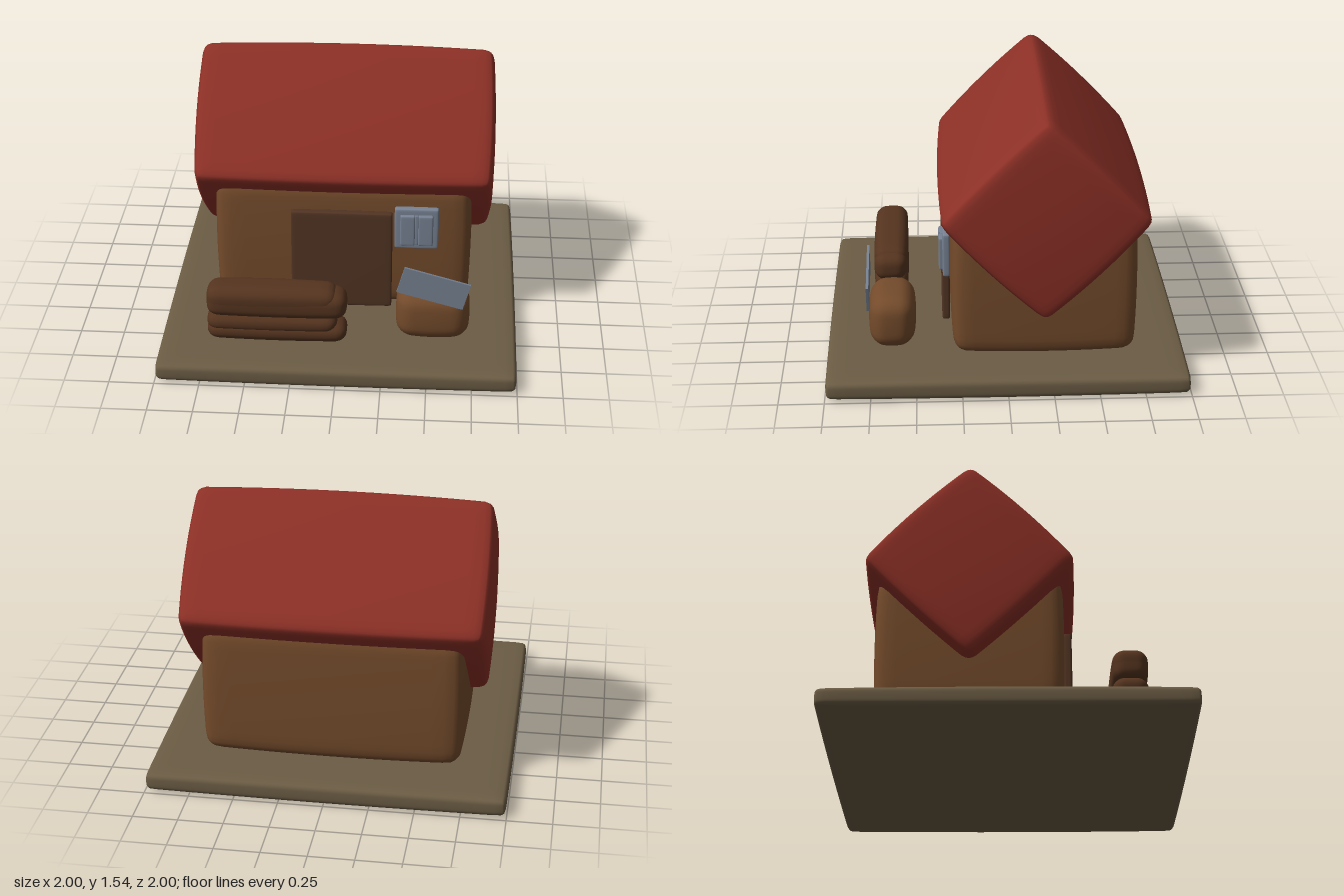
import * as THREE from 'three';
import { mergeVertices } from 'three/addons/utils/BufferGeometryUtils.js';

const mat = (name, color) => {
  const m = new THREE.MeshStandardMaterial({ color });
  m.name = name;
  return m;
};

// Soft cushion-like box: rounded edges (r) and faces that bulge by b
function puffGeometry(w, h, d, r, b) {
  const n = 18;
  const half = new THREE.Vector3(w / 2, h / 2, d / 2);
  const inner = half.clone().subScalar(r);
  const geo = new THREE.BoxGeometry(2, 2, 2, n, n, n);
  geo.deleteAttribute('uv');
  geo.deleteAttribute('normal');
  const pos = geo.attributes.position;
  const p = new THREE.Vector3(), c = new THREE.Vector3();
  for (let i = 0; i < pos.count; i++) {
    p.fromBufferAttribute(pos, i);
    // crowd the grid lines towards the edges
    p.set(...p.toArray().map((u) => Math.sin(u * Math.PI / 2))).multiply(half);
    c.copy(p).clamp(inner.clone().negate(), inner);
    p.sub(c).setLength(r).add(c);
    // draw each face in towards its rim
    const u = p.clone().divide(half);
    const x2 = u.x * u.x, y2 = u.y * u.y, z2 = u.z * u.z;
    p.x -= u.x * b * (y2 + z2) / 2;
    p.y -= u.y * b * (x2 + z2) / 2;
    p.z -= u.z * b * (x2 + y2) / 2;
    pos.setXYZ(i, p.x, p.y, p.z);
  }
  const out = mergeVertices(geo, 1e-5);
  out.computeVertexNormals();
  return out;
}

export function createModel() {
  const root = new THREE.Group();
  root.name = 'cabin';
  const earth = mat('earth', 0x6b5c44);
  const wood = mat('wood', 0x744b2b);
  const darkWood = mat('darkWood', 0x513423);
  const logWood = mat('logWood', 0x55341f);
  const roofRed = mat('roofRed', 0x8c3026);
  const steel = mat('blueGrey', 0x778293);

  // Place a puffed box by its limits on each axis
  const puff = (name, material, [x0, x1], [y0, y1], [z0, z1], r, b, parent = root) => {
    const mesh = new THREE.Mesh(puffGeometry(x1 - x0, y1 - y0, z1 - z0, r, b), material);
    mesh.position.set((x0 + x1) / 2, (y0 + y1) / 2, (z0 + z1) / 2);
    mesh.name = name;
    parent.add(mesh);
    return mesh;
  };

  // Ground slab and walls
  puff('groundSlab', earth, [-1, 1], [0, 0.125], [-1, 1], 0.035, 0.01);
  puff('walls', wood, [-0.735, 0.735], [0.115, 0.92], [-0.73, 0.31], 0.08, 0.02);

  // Roof: a square block turned onto its edge
  const roof = puff('roof', roofRed, [-0.855, 0.855], [0.515, 1.395], [-0.65, 0.23], 0.055, 0.03);
  roof.rotation.x = Math.PI / 4;

  // Door
  puff('door', darkWood, [-0.29, 0.285], [0.14, 0.75], [0.305, 0.355], 0.012, 0.003);

  // Window with two raised panes and a slim bar between them
  const win = new THREE.Group();
  win.name = 'window';
  root.add(win);
  puff('windowFrame', steel, [0.295, 0.545], [0.53, 0.785], [0.305, 0.35], 0.01, 0.003, win);
  puff('windowPaneRight', steel, [0.328, 0.412], [0.56, 0.75], [0.33, 0.37], 0.008, 0.001, win);
  puff('windowPaneLeft', steel, [0.43, 0.514], [0.56, 0.75], [0.33, 0.37], 0.008, 0.001, win);
  puff('windowBar', steel, [0.41, 0.432], [0.56, 0.75], [0.33, 0.36], 0.005, 0.001, win);

  // Stacked logs, every second one shifted lengthwise
  const logs = new THREE.Group();
  logs.name = 'logPile';
  root.add(logs);
  [[0.115, 0.245, 0.048], [0.17, 0.3, -0.005], [0.265, 0.435, 0.048], [0.3, 0.46, -0.005]]
    .forEach(([y0, y1, x1], i) =>
      puff('log' + (i + 1), logWood, [-0.735, x1], [y0, y1], [0.55, 0.75], 0.06, 0.012, logs));

  // Crate with a tilted board on its front
  puff('crate', wood, [0.32, 0.73], [0.165, 0.472], [0.5, 0.762], 0.08, 0.025);
  const board = new THREE.Mesh(new THREE.BoxGeometry(0.376, 0.16, 0.014), steel);
  board.position.set(0.528, 0.528, 0.762);
  board.rotation.z = -0.27;
  board.name = 'tiltedBoard';
  root.add(board);

  return root;
}
